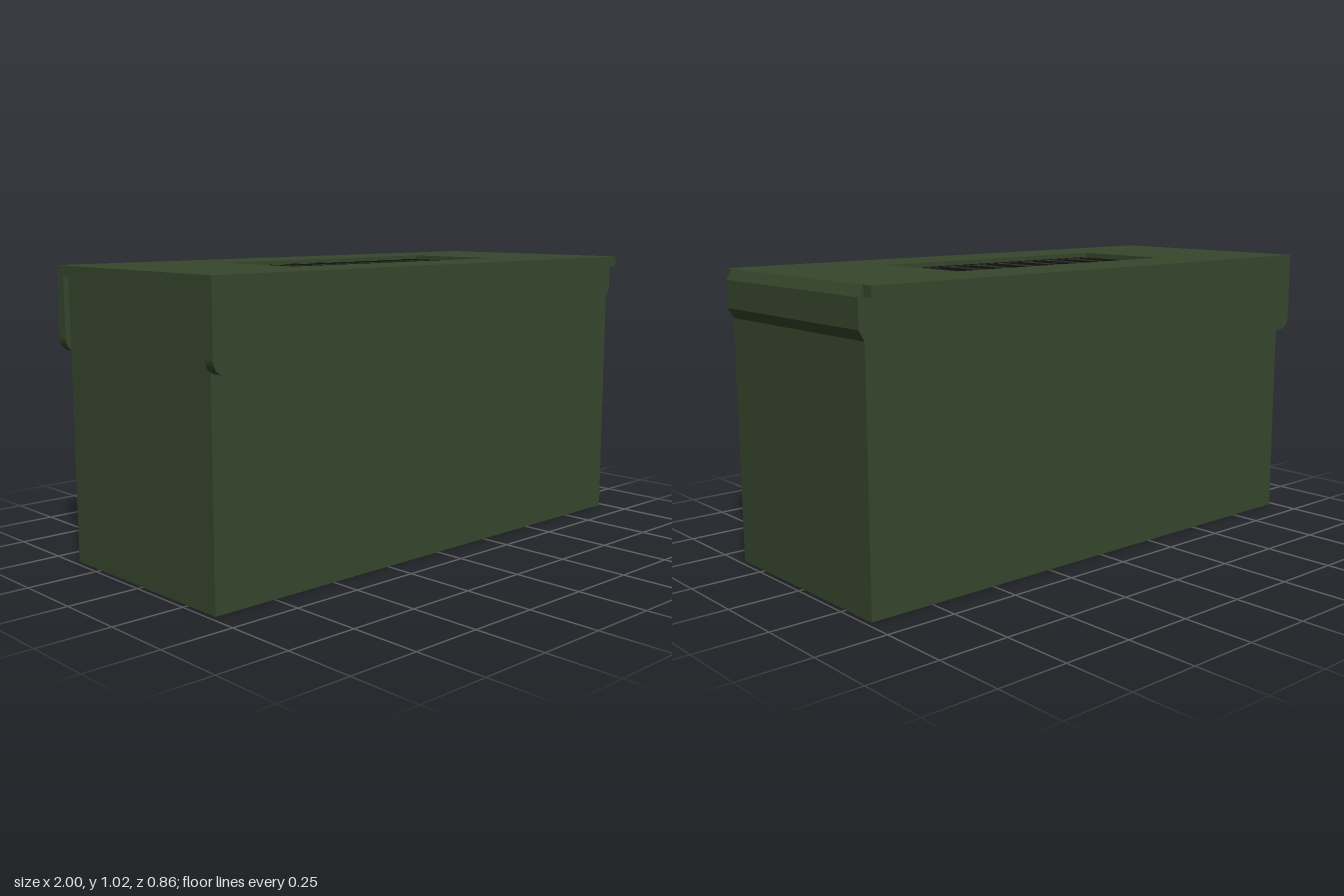
import * as THREE from 'three';

export function createModel() {
  const model = new THREE.Group();
  const green = new THREE.MeshStandardMaterial({ color: 0x37472d });
  const black = new THREE.MeshStandardMaterial({ color: 0x0f0f0f });

  const add = (name, geometry, material = green, parent = model) => {
    const mesh = new THREE.Mesh(geometry, material);
    mesh.name = name;
    parent.add(mesh);
    return mesh;
  };
  const extrude = (shape, depth) =>
    new THREE.ExtrudeGeometry(shape, { depth, bevelEnabled: false, curveSegments: 10 });
  // Extrudes a plan shape upwards from height y; the shape's +y points to -z
  const slab = (shape, y, height) => extrude(shape, height).rotateX(-Math.PI / 2).translate(0, y, 0);
  const trace = (Type, points) => new Type(points.map(([x, y]) => new THREE.Vector2(x, y)));
  const rect = (Type, x0, x1, y0, y1) => trace(Type, [[x0, y0], [x1, y0], [x1, y1], [x0, y1]]);

  const top = 1.02, lidBase = 0.985, floor = 0.99;

  // Box body
  add('body', new THREE.BoxGeometry(1.96, floor, 0.78).translate(0, floor / 2, 0));

  // Lid plate with the rectangular recess
  const plate = rect(THREE.Shape, -1, 0.98, -0.39, 0.39);
  plate.holes.push(rect(THREE.Path, -0.49, 0.49, -0.195, 0.195));
  add('lidPlate', slab(plate, lidBase, top - lidBase));

  // Tapering lid flaps along both long sides
  const flap = new THREE.Shape();
  flap.moveTo(-1, top);
  flap.lineTo(-1, 0.775);
  flap.quadraticCurveTo(-0.995, 0.725, -0.935, 0.728);
  flap.lineTo(0.98, lidBase);
  flap.lineTo(0.98, top);
  for (const [name, z] of [['frontFlap', 0.39], ['backFlap', -0.43]]) {
    add(name, extrude(flap, 0.04).translate(0, 0, z));
  }

  // Hinge lip across the left end, chamfered above and below
  const lip = trace(THREE.Shape, [[0.98, 0.855], [1, 0.89], [1, 0.985], [0.98, top], [0.97, top], [0.97, 0.855]]);
  add('hingeLip', extrude(lip, 0.78).translate(0, 0, -0.39));

  // Raised emblem in the recess: seven round-nosed cartridges on a bar
  const emblem = new THREE.Group();
  emblem.name = 'cartridgeRow';
  model.add(emblem);
  const caps = [black, green]; // dark faces, green edges
  for (let i = 0; i < 7; i++) {
    const x = (i - 3) * 0.1177 - 0.002, r = 0.04;
    const round = new THREE.Shape();
    round.moveTo(x - r, -0.085);
    round.lineTo(x + r, -0.085);
    round.lineTo(x + r, 0.098);
    round.absarc(x, 0.098, r, 0, Math.PI, false);
    add('cartridge', slab(round, floor, 0.02), caps, emblem);
  }
  add('cartridgeBar', slab(rect(THREE.Shape, -0.395, 0.391, -0.125, -0.096), floor, 0.02), caps, emblem);

  return model;
}
